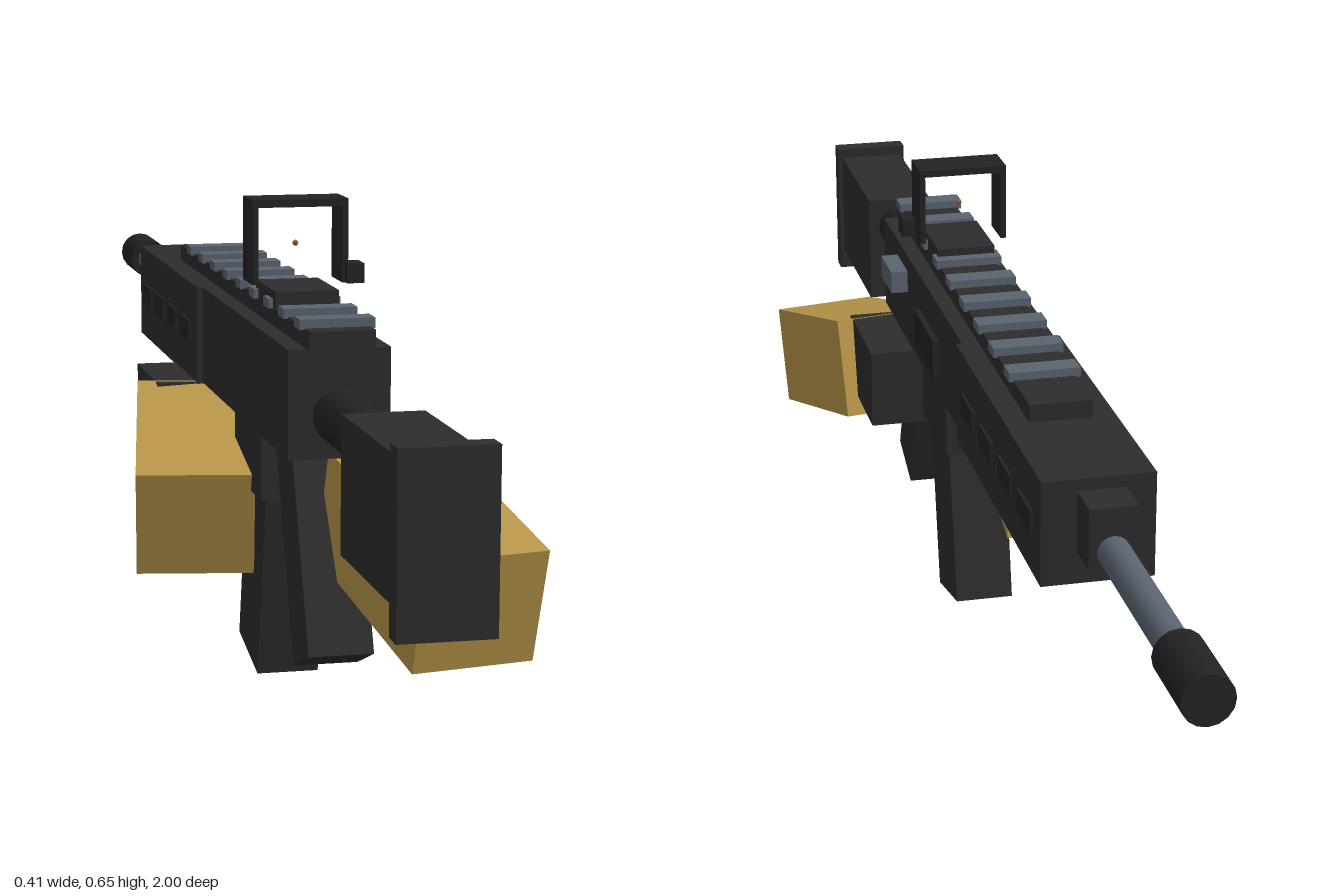
import * as THREE from 'three';

const mat = (name, color, extra = {}) => Object.assign(new THREE.MeshStandardMaterial({ color, ...extra }), { name });

export function createModel() {
  const root = new THREE.Group();
  root.name = 'rifleWithArms';
  const body = mat('charcoal', 0x2d2d2d);
  const black = mat('black', 0x232323);
  const steel = mat('steel', 0x5a6470);
  const sleeve = mat('tanSleeve', 0xb8964a);
  const red = mat('sightRed', 0x9a5a3a);

  // Box given by its [min, max] range on each axis
  const box = (name, m, [x0, x1], [y0, y1], [z0, z1]) => {
    const b = new THREE.Mesh(new THREE.BoxGeometry(x1 - x0, y1 - y0, z1 - z0), m);
    b.position.set((x0 + x1) / 2, (y0 + y1) / 2, (z0 + z1) / 2);
    b.name = name;
    root.add(b);
    return b;
  };
  // Cylinder along z
  const rod = (name, m, r, y, z0, z1, sides = 16) => {
    const c = new THREE.Mesh(new THREE.CylinderGeometry(r, r, z1 - z0, sides), m);
    c.rotation.x = Math.PI / 2;
    c.position.set(0, y, (z0 + z1) / 2);
    c.name = name;
    root.add(c);
    return c;
  };
  // Box of a given size, centred and turned (yaw applied after pitch)
  const turned = (name, m, size, pos, pitch, yaw = 0) => {
    const b = new THREE.Mesh(new THREE.BoxGeometry(...size), m);
    b.position.set(...pos);
    b.rotation.set(THREE.MathUtils.degToRad(pitch), THREE.MathUtils.degToRad(yaw), 0, 'YXZ');
    b.name = name;
    root.add(b);
    return b;
  };

  // Stock and buffer tube
  box('buttPlate', body, [-0.057, 0.057], [0.262, 0.475], [0.97, 1]);
  box('stock', body, [-0.05, 0.05], [0.293, 0.46], [0.72, 0.97]);
  rod('bufferTube', black, 0.034, 0.415, 0.5, 0.72);

  // Receiver and handguard
  box('receiver', body, [-0.065, 0.065], [0.362, 0.5], [-0.06, 0.505]);
  box('handguard', body, [-0.073, 0.073], [0.36, 0.5], [-0.545, -0.06]);
  box('ejectionPort', black, [0.06, 0.074], [0.39, 0.447], [0.095, 0.232]);
  box('chargingHandle', steel, [0.06, 0.09], [0.442, 0.475], [0.322, 0.402]);
  for (const s of [-1, 1]) {
    for (let i = 0; i < 4; i++) {
      const z = -0.14 - i * 0.11;
      const slot = box('handguardSlot', black, [-0.004, 0.004], [0.415, 0.445], [z - 0.035, z + 0.035]);
      slot.position.x = s * 0.073;
    }
  }

  // Top rail with cross ribs
  box('topRail', body, [-0.042, 0.042], [0.5, 0.524], [-0.358, 0.52]);
  for (let i = 0; i < 9; i++) {
    const z = 0.477 - i * 0.0915;
    box('railRib', steel, [-0.048, 0.048], [0.522, 0.535], [z - 0.016, z + 0.016]);
  }

  // Open sight
  box('sightBase', body, [-0.042, 0.042], [0.523, 0.546], [0.205, 0.325]);
  for (const s of [-1, 1]) {
    box('sightPost', black, [-0.004, 0.004], [0.55, 0.66], [0.225, 0.285]).position.x = s * 0.06;
  }
  box('sightTop', black, [-0.064, 0.064], [0.65, 0.66], [0.225, 0.285]);
  box('sightKnob', black, [0.06, 0.083], [0.55, 0.576], [0.262, 0.296]);
  const dot = new THREE.Mesh(new THREE.SphereGeometry(0.004, 8, 6), red);
  dot.position.set(0, 0.6, 0.255);
  dot.name = 'sightDot';
  root.add(dot);

  // Barrel
  rod('barrel', steel, 0.021, 0.432, -0.9, -0.54);
  box('gasBlock', body, [-0.031, 0.031], [0.41, 0.49], [-0.615, -0.558]);
  rod('muzzle', black, 0.032, 0.432, -1, -0.888);

  // Magazine, grip and trigger guard
  box('magazineWell', body, [-0.052, 0.052], [0.262, 0.365], [0.11, 0.288]);
  turned('magazine', body, [0.084, 0.27, 0.127], [0, 0.151, 0.18], 12);
  turned('grip', body, [0.084, 0.28, 0.092], [0, 0.227, 0.428], -22);
  box('triggerGuard', body, [-0.02, 0.02], [0.229, 0.241], [0.288, 0.39]);

  // Mirrored arms: sleeve, glove and three fingers each
  for (const [side, s, z] of [['left', 1, 0.57], ['right', -1, 0.05]]) {
    turned(side + 'Sleeve', sleeve, [0.16, 0.15, 0.3], [s * 0.098, 0.2515, z], 15, s * 10);
    turned(side + 'Glove', body, [0.09, 0.116, 0.175], [s * 0.085, 0.304, z - 0.2], 0);
    for (let i = -1; i <= 1; i++) {
      turned(side + 'Finger', steel, [0.03, 0.04, 0.036], [s * 0.035, 0.34, z - 0.2 + i * 0.046], 0);
    }
  }
  return root;
}
